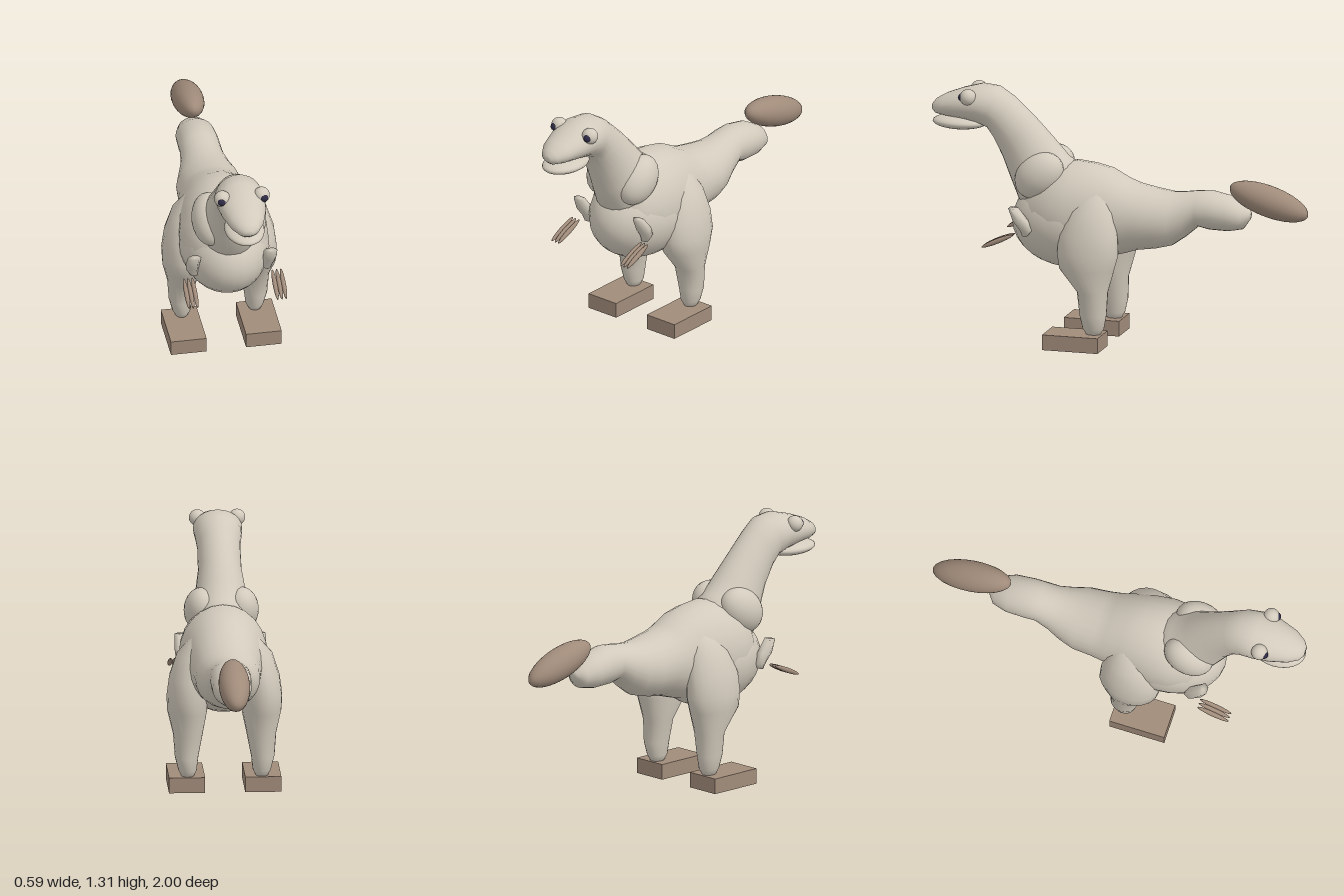
import * as THREE from 'three';

// Closed skin through elliptical rings: each ring has centre c and half-axes u, v,
// with u x v pointing along the direction of travel.
function loft(rings, sides = 20) {
  const pos = [], index = [];
  for (const { c, u, v } of rings) {
    for (let j = 0; j < sides; j++) {
      const a = (j / sides) * Math.PI * 2, p = Math.cos(a), q = Math.sin(a);
      pos.push(c[0] + u[0] * p + v[0] * q, c[1] + u[1] * p + v[1] * q, c[2] + u[2] * p + v[2] * q);
    }
  }
  for (let i = 0; i < rings.length - 1; i++) {
    for (let j = 0; j < sides; j++) {
      const k = (j + 1) % sides, a = i * sides + j, b = i * sides + k;
      index.push(a, b, a + sides, b, b + sides, a + sides);
    }
  }
  const first = pos.length / 3, last = (rings.length - 1) * sides;
  pos.push(...rings[0].c, ...rings[rings.length - 1].c);
  for (let j = 0; j < sides; j++) {
    const k = (j + 1) % sides;
    index.push(first, k, j, first + 1, last + j, last + k);
  }
  const g = new THREE.BufferGeometry();
  g.setAttribute('position', new THREE.Float32BufferAttribute(pos, 3));
  g.setIndex(index);
  g.computeVertexNormals();
  return g;
}

// Ring spanning a top and a bottom point in the side plane
const sideRing = ([zt, yt, zb, yb, w]) => ({
  c: [0, (yt + yb) / 2, (zt + zb) / 2], u: [w, 0, 0], v: [0, (yt - yb) / 2, (zt - zb) / 2],
});
// Horizontal ring for limbs
const limbRing = (side) => ([y, x, w, z, d]) => ({ c: [side * x, y, z], u: [w, 0, 0], v: [0, 0, d] });

export function createModel() {
  const group = new THREE.Group();
  const skin = new THREE.MeshStandardMaterial({ color: 0xd2cabc });
  skin.name = 'paleSkin';
  const horn = new THREE.MeshStandardMaterial({ color: 0xa08b7a });
  horn.name = 'brownHorn';
  const dark = new THREE.MeshStandardMaterial({ color: 0x2e2a45 });
  dark.name = 'darkPupil';

  const add = (name, geometry, material) => {
    const m = new THREE.Mesh(geometry, material);
    m.name = name;
    group.add(m);
    return m;
  };
  const ellipsoid = (name, material, p, r, tilt = 0) => {
    const m = add(name, new THREE.SphereGeometry(1, 24, 16), material);
    m.position.set(...p);
    m.scale.set(...r);
    m.rotation.x = tilt;
  };

  // Torso and tail: z, top, bottom, half width
  const torso = [
    [-0.69, 0.735, 0.69, 0.03], [-0.655, 0.77, 0.64, 0.075], [-0.58, 0.81, 0.625, 0.1],
    [-0.48, 0.83, 0.627, 0.105], [-0.42, 0.825, 0.64, 0.105], [-0.35, 0.815, 0.58, 0.115],
    [-0.28, 0.81, 0.53, 0.14], [-0.2, 0.82, 0.51, 0.165], [-0.1, 0.84, 0.495, 0.172],
    [-0.04, 0.862, 0.475, 0.18], [0.05, 0.91, 0.45, 0.195], [0.14, 0.93, 0.42, 0.215],
    [0.24, 0.94, 0.4, 0.228], [0.33, 0.92, 0.42, 0.22], [0.42, 0.86, 0.48, 0.185],
    [0.5, 0.77, 0.55, 0.12],
  ];
  add('torsoAndTail', loft(torso.map(([z, t, b, w]) => sideRing([z, t, z, b, w])), 24), skin);
  ellipsoid('belly', skin, [0, 0.62, 0.26], [0.23, 0.238, 0.312]);

  // Neck and head: top z, y, bottom z, y, half width
  const neck = [
    [0.12, 0.86, 0.42, 0.6, 0.16], [0.28, 0.955, 0.535, 0.72, 0.15], [0.36, 1.045, 0.585, 0.84, 0.13],
    [0.45, 1.14, 0.625, 0.94, 0.112], [0.57, 1.25, 0.67, 1.03, 0.11], [0.65, 1.3, 0.7, 1.08, 0.12],
    [0.74, 1.308, 0.755, 1.105, 0.126], [0.84, 1.28, 0.84, 1.122, 0.116], [0.93, 1.245, 0.93, 1.13, 0.088],
    [0.98, 1.215, 0.98, 1.138, 0.055], [1, 1.19, 1, 1.155, 0.025],
  ];
  add('neckAndHead', loft(neck.map(sideRing), 24), skin);
  ellipsoid('lowerJaw', skin, [0, 1.102, 0.855], [0.102, 0.037, 0.145]);

  // Tail tip
  ellipsoid('tailTip', horn, [0, 0.793, -0.79], [0.08, 0.08, 0.218], -0.3);

  const leg = [
    [0.82, 0.12, 0.04, 0.1, 0.06], [0.72, 0.15, 0.095, 0.11, 0.12], [0.6, 0.183, 0.1, 0.12, 0.155],
    [0.5, 0.19, 0.106, 0.12, 0.162], [0.42, 0.19, 0.103, 0.125, 0.145], [0.3, 0.188, 0.076, 0.095, 0.08],
    [0.18, 0.195, 0.06, 0.09, 0.07], [0.11, 0.19, 0.047, 0.09, 0.056], [0.075, 0.19, 0.03, 0.09, 0.035],
  ];
  const arm = [
    [0.715, 0.197, 0.036, 0.515, 0.025], [0.65, 0.2, 0.036, 0.475, 0.042],
    [0.6, 0.195, 0.034, 0.445, 0.033], [0.57, 0.19, 0.02, 0.455, 0.015],
  ];

  // Paired parts
  for (const [s, n] of [[1, 'left'], [-1, 'right']]) {
    add(n + 'Leg', loft(leg.map(limbRing(s))), skin);
    const foot = add(n + 'Foot', new THREE.BoxGeometry(0.185, 0.08, 0.295), horn);
    foot.position.set(s * 0.195, 0.04, 0.187);
    ellipsoid(n + 'Shoulder', skin, [s * 0.1, 0.87, 0.405], [0.092, 0.11, 0.14], 0.7);
    add(n + 'Arm', loft(arm.map(limbRing(s)), 6), skin);
    for (const x of [0.208, 0.23, 0.252]) {
      ellipsoid(n + 'Claw', horn, [s * x, 0.547, 0.585], [0.012, 0.013, 0.092], 0.42);
    }
    ellipsoid(n + 'Eye', skin, [s * 0.102, 1.255, 0.785], [0.042, 0.042, 0.042]);
    ellipsoid(n + 'Pupil', dark, [s * 0.109, 1.255, 0.812], [0.022, 0.022, 0.022]);
  }
  return group;
}
